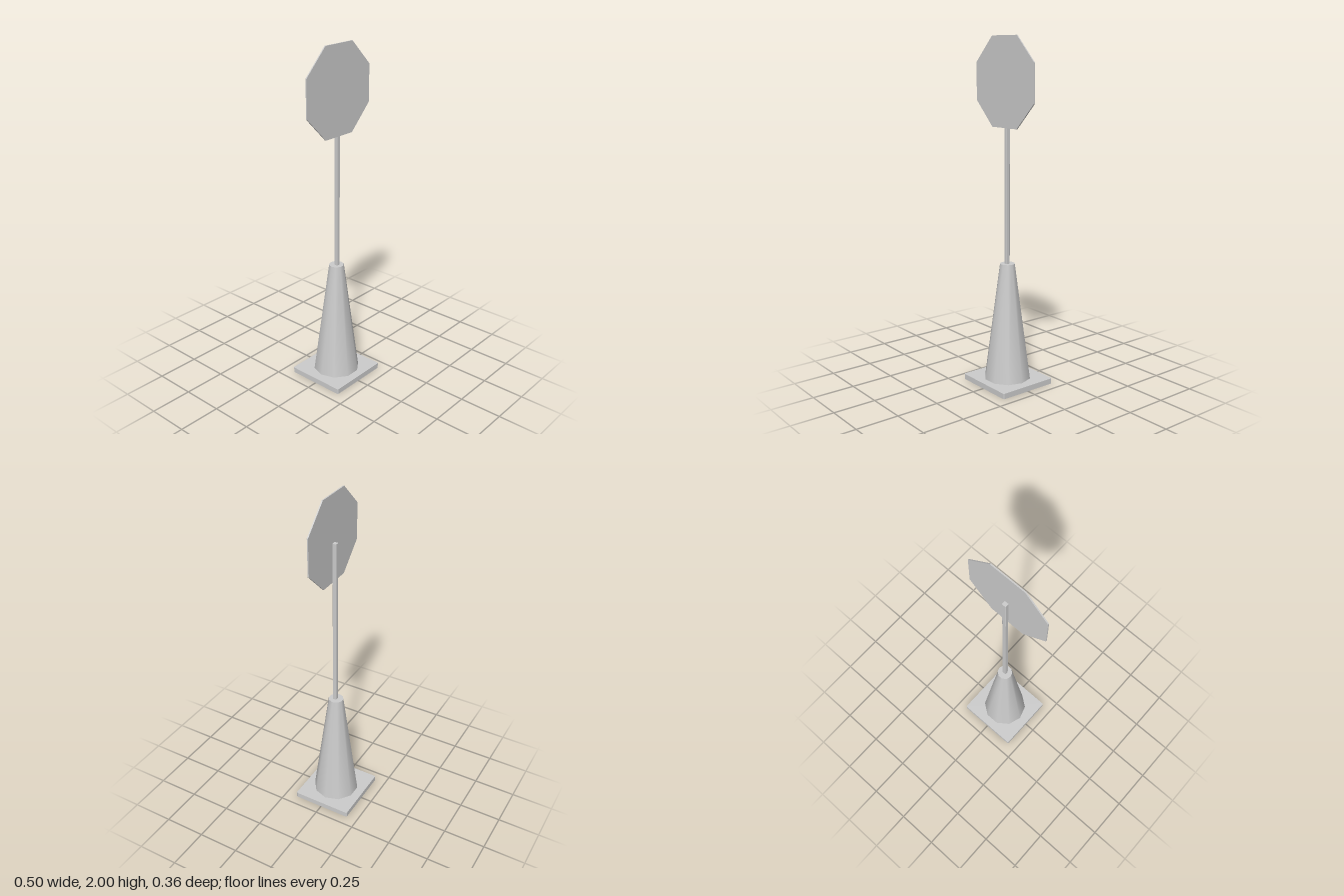
import * as THREE from 'three';

const material = new THREE.MeshStandardMaterial({ color: 0xcccccc });

// Upright block with cut vertical corners, from y0 to y1
function cutBlock(w, d, cut, y0, y1) {
  const x = w / 2, z = d / 2;
  const shape = new THREE.Shape([
    [x, -z + cut], [x, z - cut], [x - cut, z], [-x + cut, z],
    [-x, z - cut], [-x, -z + cut], [-x + cut, -z], [x - cut, -z],
  ].map(([a, b]) => new THREE.Vector2(a, b)));
  return new THREE.ExtrudeGeometry(shape, { depth: y1 - y0, bevelEnabled: false })
    .rotateX(-Math.PI / 2)
    .translate(0, y0, 0);
}

export function createModel() {
  const model = new THREE.Group();
  const add = (name, geometry, x = 0, y = 0, z = 0) => {
    const mesh = new THREE.Mesh(geometry, material);
    mesh.name = name;
    mesh.position.set(x, y, z);
    model.add(mesh);
  };

  // Flat foot plate
  add('basePlate', cutBlock(0.379, 0.36, 0.005, 0, 0.032), 0.0025, 0, -0.002);

  // Ten-sided smooth cone with a corner pointing to each side
  const bottom = 0.03, top = 0.72;
  const cone = new THREE.CylinderGeometry(0.044, 0.137, top - bottom, 10).rotateY(Math.PI / 2);
  add('cone', cone, 0.0025, (top + bottom) / 2, 0);

  // Slim square pole
  add('pole', cutBlock(0.024, 0.023, 0.002, 0.7, 1.727), 0.0035, 0, 0.0035);

  // Thin octagonal sign on the front of the pole
  const half = 0.2515, side = 0.107;
  const octagon = new THREE.Shape([
    [half, -side], [half, side], [side, half], [-side, half],
    [-half, side], [-half, -side], [-side, -half], [side, -half],
  ].map(([a, b]) => new THREE.Vector2(a, b)));
  const plate = new THREE.ExtrudeGeometry(octagon, { depth: 0.007, bevelEnabled: false });
  add('signPlate', plate, 0, 2 - half, 0.0145);

  return model;
}
